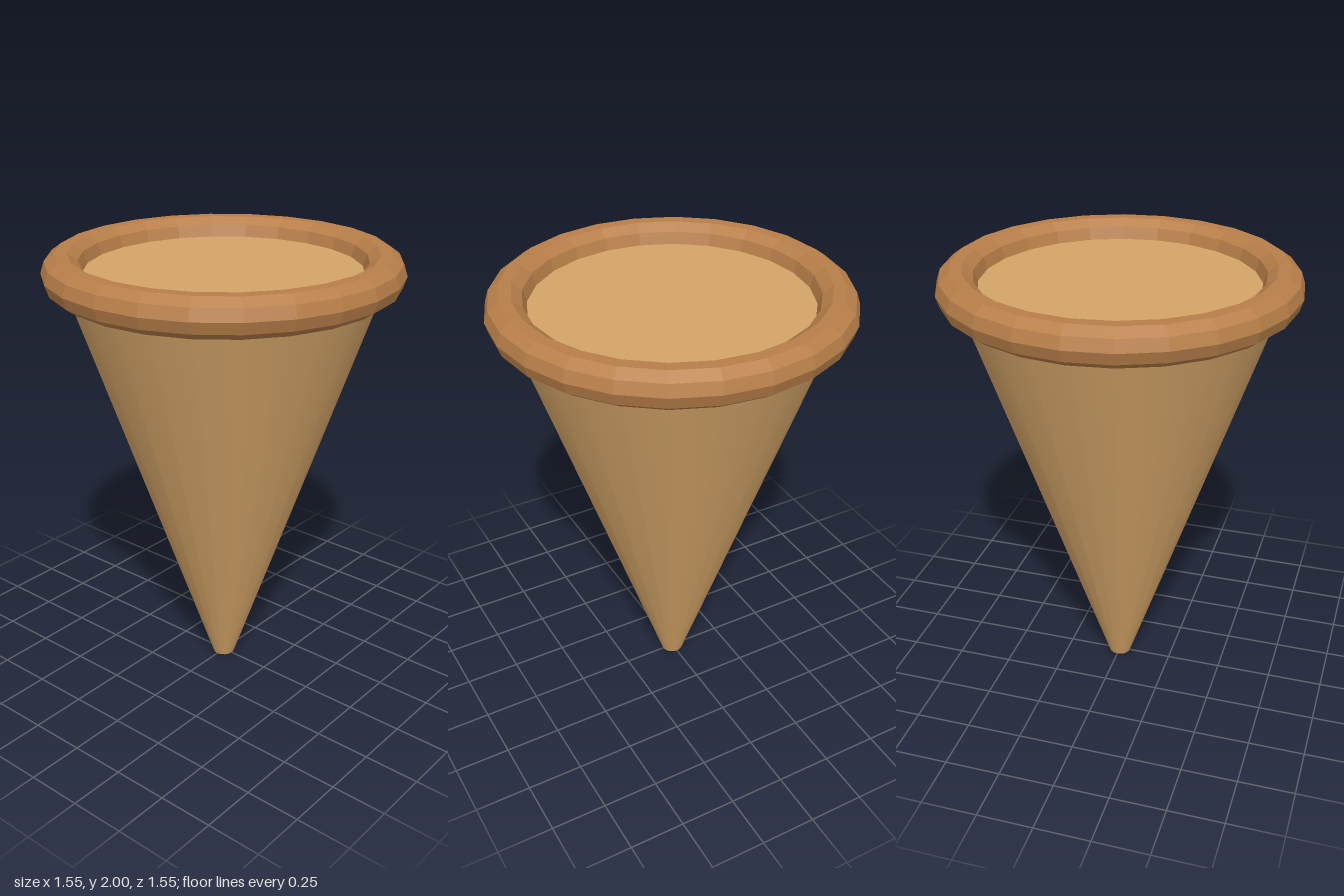
import * as THREE from 'three';

const SIDES = 24;
const RIM_Y = 1.917;

export function createModel() {
  const wafer = new THREE.MeshStandardMaterial({ color: 0xd4a467 });
  wafer.name = 'wafer tan';
  const toasted = new THREE.MeshStandardMaterial({ color: 0xb87f49 });
  toasted.name = 'toasted brown';

  const group = new THREE.Group();
  group.name = 'cone';

  // Tapered body with a flat tip, closed at the height of the rim's centre
  const bodyGeometry = new THREE.CylinderGeometry(0.7, 0.05, RIM_Y, SIDES);
  bodyGeometry.translate(0, RIM_Y / 2, 0);
  const body = new THREE.Mesh(bodyGeometry, wafer);
  body.name = 'coneBody';
  group.add(body);

  // Faceted ring around the mouth, ten sides in section
  const rimGeometry = new THREE.TorusGeometry(0.6875, 0.0875, 10, SIDES)
    .rotateX(-Math.PI / 2)
    .translate(0, RIM_Y, 0)
    .toNonIndexed();
  rimGeometry.computeVertexNormals();
  const rim = new THREE.Mesh(rimGeometry, toasted);
  rim.name = 'rim';
  group.add(rim);

  return group;
}
